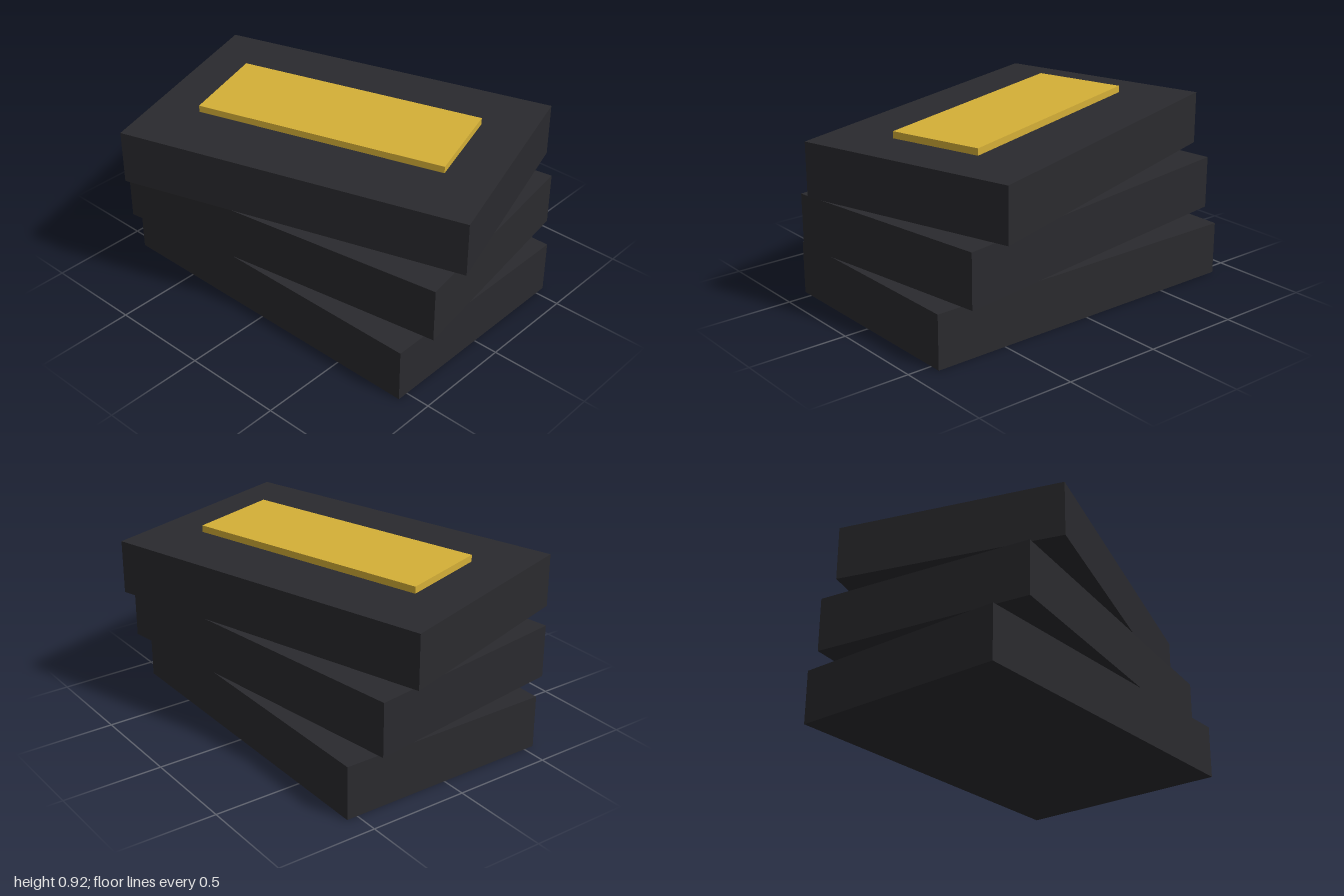
import * as THREE from 'three';

export function createModel() {
  const model = new THREE.Group();
  model.name = 'stackedSlabs';
  const dark = new THREE.MeshStandardMaterial({ color: 0x2a2a2e });
  const gold = new THREE.MeshStandardMaterial({ color: 0xd4af37 });

  const slabSize = [1.75, 0.269, 1.11];
  const plateSize = [1.265, 0.034, 0.471];
  const step = 0.303; // rise from one tier to the next
  const twist = 0.15; // extra turn of each tier, in radians

  function addBox(parent, name, size, y, material) {
    const mesh = new THREE.Mesh(new THREE.BoxGeometry(...size), material);
    mesh.name = name;
    mesh.position.y = y;
    parent.add(mesh);
  }

  // Three identical tiers, each a dark slab with a gold plate just above it
  for (let i = 0; i < 3; i++) {
    const tier = new THREE.Group();
    tier.name = `tier${i + 1}`;
    tier.position.y = i * step;
    tier.rotation.y = i * twist;
    addBox(tier, 'slab', slabSize, slabSize[1] / 2, dark);
    addBox(tier, 'plate', plateSize, 0.293, gold);
    model.add(tier);
  }
  return model;
}
